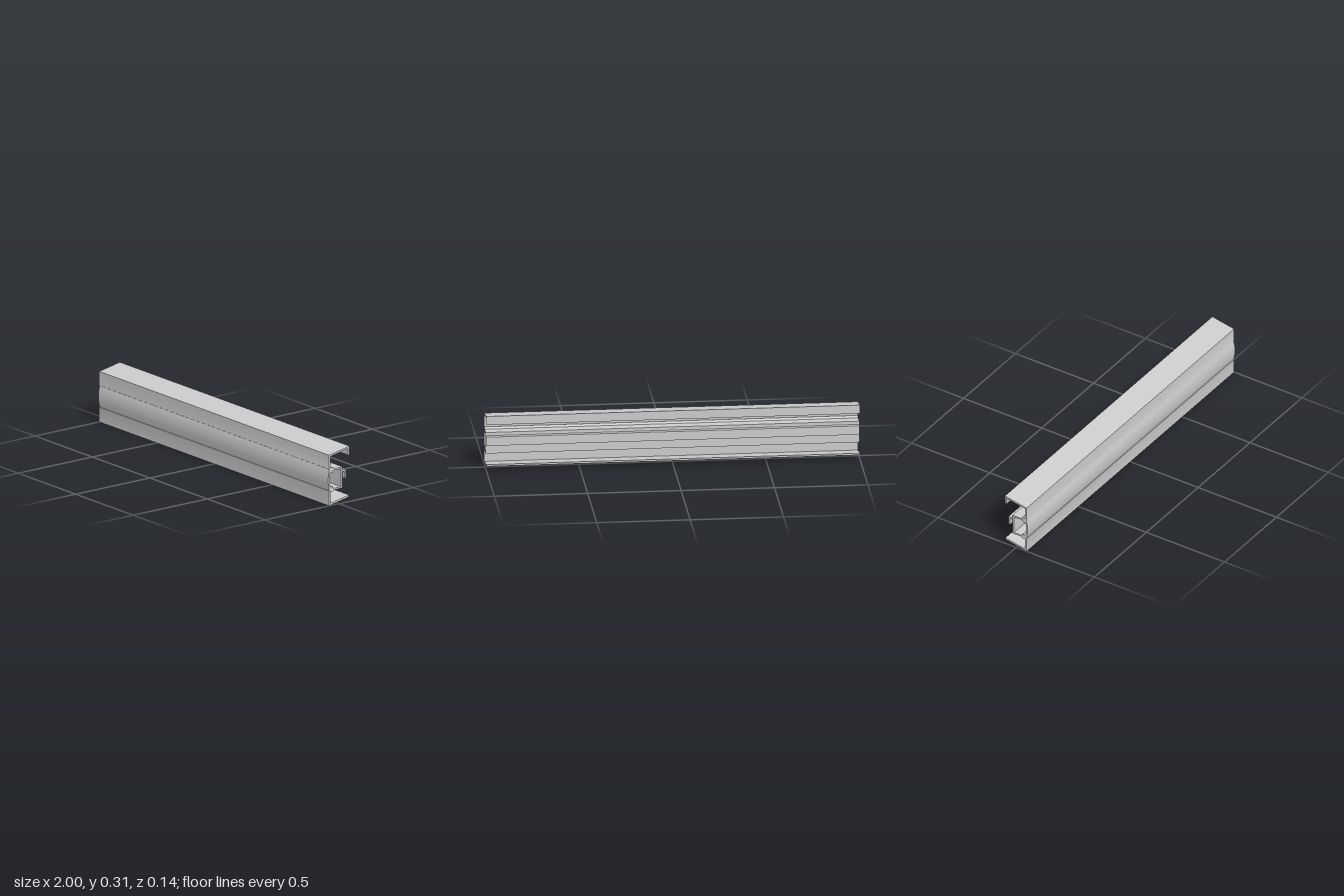
import * as THREE from 'three';
import { toCreasedNormals } from 'three/addons/utils/BufferGeometryUtils.js';

// Trace [z, y] corners; entries with four numbers are curves [controlZ, controlY, z, y].
function trace(path, points) {
  points.forEach((p, i) => {
    if (i === 0) path.moveTo(-p[0], p[1]);
    else if (p.length === 4) path.quadraticCurveTo(-p[0], p[1], -p[2], p[3]);
    else path.lineTo(-p[0], p[1]);
  });
  path.closePath();
  return path;
}

export function createModel() {
  const group = new THREE.Group();
  group.name = 'railProfile';

  const section = trace(new THREE.Shape(), [
    // front face with its bowed centre
    [0.067, 0], [0.067, 0.082], [0.064, 0.083],
    [0.082, 0.142, 0.064, 0.201], [0.067, 0.203], [0.067, 0.281],
    // upper flange with its down-turned lip
    [-0.072, 0.307], [-0.072, 0.259], [-0.061, 0.259], [-0.061, 0.295],
    [0.056, 0.273], [0.056, 0.207],
    // upper bead and top of the box channel
    [0.044, 0.214, 0.032, 0.201], [-0.024, 0.201], [-0.024, 0.183],
    // rear hook
    [-0.049, 0.183], [-0.049, 0.134], [-0.038, 0.134], [-0.038, 0.174], [-0.024, 0.174],
    // bottom of the box channel and lower bead
    [-0.024, 0.083], [0.032, 0.083], [0.044, 0.07, 0.056, 0.077],
    // lower flange
    [0.056, 0.013], [-0.069, 0.036], [-0.069, 0.026],
  ]);

  // hollow of the box channel
  section.holes.push(trace(new THREE.Path(), [
    [-0.013, 0.092], [-0.013, 0.192], [0.04, 0.192], [0.04, 0.181], [0.06, 0.181],
    [0.066, 0.142, 0.06, 0.103], [0.04, 0.103], [0.04, 0.092],
  ]));

  const extruded = new THREE.ExtrudeGeometry(section, { depth: 2, bevelEnabled: false, curveSegments: 16 });
  extruded.translate(0, 0, -1).rotateY(Math.PI / 2);

  const rail = new THREE.Mesh(
    toCreasedNormals(extruded, 0.4),
    new THREE.MeshStandardMaterial({ color: 0xcccccc })
  );
  rail.name = 'rail';
  group.add(rail);
  return group;
}
